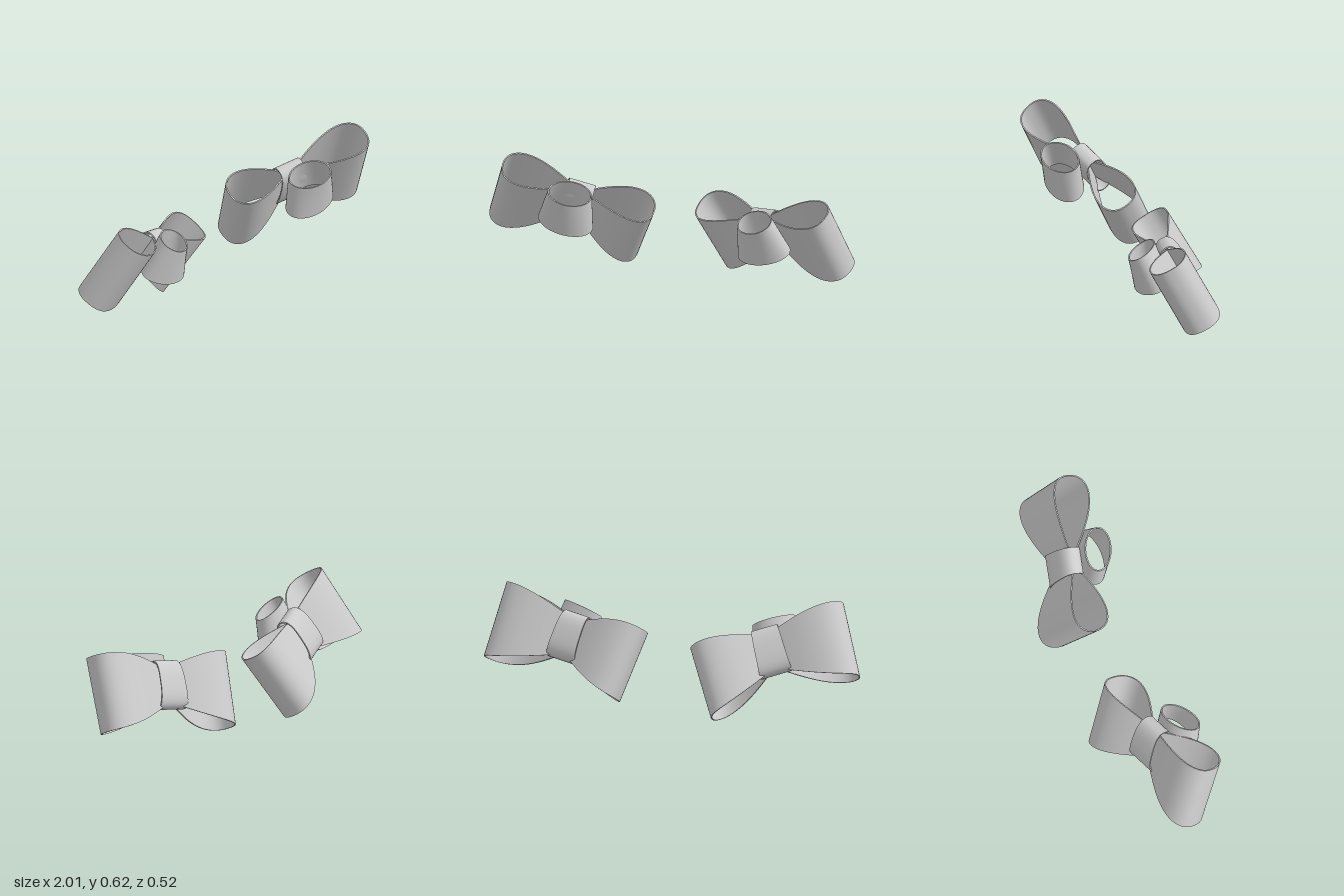
import * as THREE from 'three';

const V3 = (x, y, z) => new THREE.Vector3(x, y, z);
const material = new THREE.MeshStandardMaterial({ color: 0xcccccc, side: THREE.DoubleSide });

// Closed ribbon loop with thickness. point(t, s): t = angle round the loop, s = -1..1 across the ribbon.
function ribbon(name, point, n = 48, m = 8, thick = 0.007) {
  const pos = [], index = [];
  const at = (i, s, inner) => {
    const t = ((i + 0.5) / n) * Math.PI * 2, p = point(t, s);
    if (!inner) return p;
    const along = point(t + 0.01, s).sub(point(t - 0.01, s));
    const across = point(t, s + 0.05).sub(point(t, s - 0.05));
    return p.addScaledVector(along.cross(across).normalize(), thick);
  };
  // One strip per face of the ribbon, so the rims stay sharp
  const strip = (rows, cornerAt) => {
    const base = pos.length / 3;
    for (let j = 0; j <= rows; j++)
      for (let i = 0; i < n; i++) pos.push(...cornerAt(i, j).toArray());
    for (let j = 0; j < rows; j++)
      for (let i = 0; i < n; i++) {
        const k = (i + 1) % n, a = base + j * n + i, b = base + j * n + k;
        index.push(a, b, a + n, b, b + n, a + n);
      }
  };
  strip(m, (i, j) => at(i, -1 + (2 * j) / m, false));
  strip(m, (i, j) => at(i, 1 - (2 * j) / m, true));
  strip(1, (i, j) => at(i, 1, j === 1));
  strip(1, (i, j) => at(i, -1, j === 0));
  const geometry = new THREE.BufferGeometry();
  geometry.setAttribute('position', new THREE.Float32BufferAttribute(pos, 3));
  geometry.setIndex(index);
  geometry.computeVertexNormals();
  const mesh = new THREE.Mesh(geometry, material);
  mesh.name = name;
  return mesh;
}

// Teardrop loop of the bow: "reach" runs from the knot to the tip, "rise" is the ribbon width at the tip
function bowLoop(name, centre, reach, rise) {
  const up = rise.clone().normalize();
  const out = V3().crossVectors(reach, up).normalize();
  if (out.z < 0) out.negate();
  const turn = Math.sign(V3().crossVectors(reach, out).dot(up));
  const tip = rise.length() / 2;
  return ribbon(name, (t, s) => {
    const a = (1 - Math.cos(t)) / 2, sine = Math.sin(t);
    const b = turn * 0.146 * Math.sign(sine) * Math.abs(sine) ** 0.85 * Math.abs(Math.sin(t / 2)) ** 1.4;
    const half = THREE.MathUtils.lerp(0.09, tip, Math.sin((a * Math.PI) / 2));
    return centre.clone().addScaledVector(reach, a).addScaledVector(out, b).addScaledVector(up, s * half);
  });
}

// Band wrapped round the middle, a little wider at its lower edge
function knot(centre, axis, rise) {
  const u = axis.clone().normalize(), v = rise.clone().normalize();
  const w = V3().crossVectors(u, v).normalize();
  const round = (x) => Math.sign(x) * Math.abs(x) ** 0.75;
  return ribbon('knot', (t, s) => centre.clone()
    .addScaledVector(u, s * (0.078 + 0.008 * Math.cos(t)))
    .addScaledVector(v, -0.122 * round(Math.cos(t)))
    .addScaledVector(w, -0.054 * round(Math.sin(t))), 40);
}

// Flared, slightly twisted holder ring in front of the knot
function holderRing(side) {
  return ribbon('holderRing', (t, s) => {
    const k = (s + 1) / 2, mix = THREE.MathUtils.lerp;
    const c = Math.cos(side * t), d = Math.sin(side * t);
    const x = mix(0.55, 0.51, k) + mix(0.145, 0.105, k) * c;
    const y = mix(0.28, 0.465, k) + 0.028 * c - 0.035 * d;
    const z = mix(0.13, 0.172, k) + mix(0.085, 0.075, k) * d + mix(0.01, 0.035, k) * c;
    return V3(side * x + 0.008, y, z);
  }, 40);
}

function bow(name, side, centre, outer, inner) {
  const group = new THREE.Group();
  group.name = name;
  const axis = outer.reach.clone().sub(inner.reach).multiplyScalar(side);
  const rise = outer.rise.clone().add(inner.rise);
  group.add(
    bowLoop('outerLoop', centre, outer.reach, outer.rise),
    bowLoop('innerLoop', centre, inner.reach, inner.rise),
    knot(centre, axis, rise),
    holderRing(side));
  return group;
}

export function createModel() {
  const model = new THREE.Group();
  model.name = 'pairOfBows';
  model.add(
    bow('rightBow', -1, V3(-0.53, 0.35, -0.01),
      { reach: V3(-0.405, 0.055, 0.12), rise: V3(0.13, 0.34, 0.165) },
      { reach: V3(0.345, -0.175, -0.1), rise: V3(0.15, 0.32, 0.16) }),
    bow('leftBow', 1, V3(0.54, 0.355, -0.01),
      { reach: V3(0.42, 0.03, 0.12), rise: V3(-0.08, 0.36, 0.165) },
      { reach: V3(-0.355, -0.105, -0.1), rise: V3(-0.11, 0.335, 0.16) }));
  return model;
}
